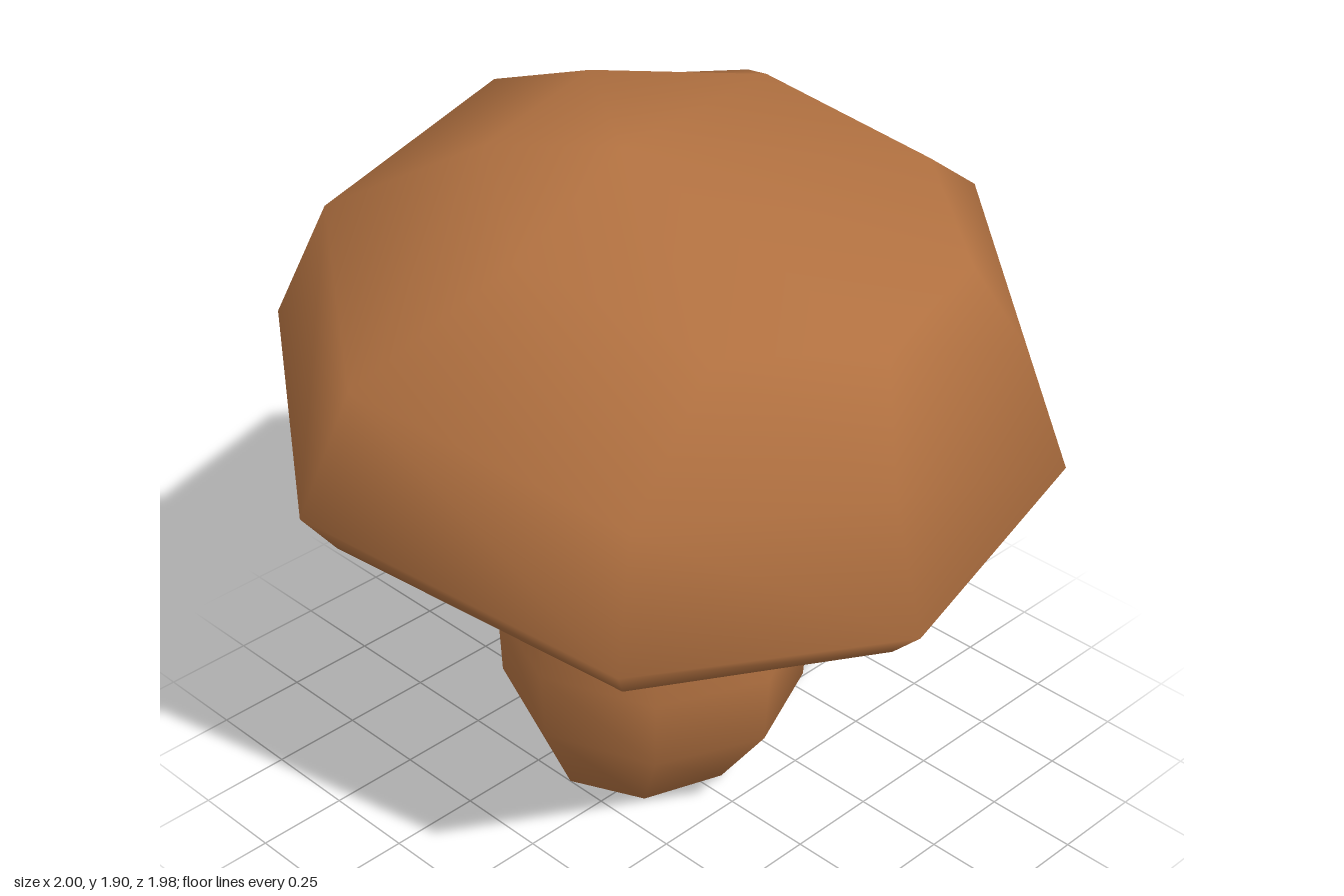
import * as THREE from 'three';

// Irregular eight-cornered rim outline as [x, z], each axis reaching about 1
const RIM = [
  [0.22, -0.99], [-0.56, -0.85], [-1, -0.22], [-0.78, 0.63],
  [-0.16, 0.99], [0.56, 0.84], [1, 0.27], [0.87, -0.54],
];
// Regular octagon for the stem, running the same way round
const OCTAGON = Array.from({ length: 8 }, (_, i) => {
  const a = (i / 8) * Math.PI * 2;
  return [-Math.sin(a), -Math.cos(a)];
});

// Skins rings listed from bottom to top; optional end points close the ends.
// Ring: centre x, z, half widths, height and its slope along x and z.
function loft(outline, rings, bottom, top) {
  const n = outline.length;
  const pos = [];
  const index = [];
  for (const { cx = 0, cz = 0, wx, wz, y, sx = 0, sz = 0 } of rings) {
    for (const [ox, oz] of outline) {
      const x = cx + ox * wx;
      const z = cz + oz * wz;
      pos.push(x, y + sx * x + sz * z, z);
    }
  }
  for (let r = 0; r < rings.length - 1; r++) {
    for (let i = 0; i < n; i++) {
      const a = r * n + i;
      const b = r * n + ((i + 1) % n);
      index.push(a, a + n, b, b, a + n, b + n);
    }
  }
  const close = (point, start, up) => {
    if (!point) return;
    const c = pos.length / 3;
    pos.push(...point);
    for (let i = 0; i < n; i++) {
      const a = start + i;
      const b = start + ((i + 1) % n);
      if (up) index.push(a, c, b);
      else index.push(b, c, a);
    }
  };
  close(bottom, 0, false);
  close(top, (rings.length - 1) * n, true);
  const g = new THREE.BufferGeometry();
  g.setAttribute('position', new THREE.Float32BufferAttribute(pos, 3));
  g.setIndex(index);
  g.computeVertexNormals();
  return g;
}

export function createModel() {
  const group = new THREE.Group();
  group.name = 'mushroom';
  const brown = new THREE.MeshStandardMaterial({ color: 0xb07040 });
  brown.name = 'mushroomBrown';
  brown.side = THREE.DoubleSide;

  // Cap: underside flaring from the neck, tilted rim, steep front, domed top
  const cap = new THREE.Mesh(loft(RIM, [
    { cx: 0.01, cz: -0.05, wx: 0.27, wz: 0.28, y: 1.06, sz: -0.15 },
    { cz: -0.04, wx: 0.58, wz: 0.58, y: 1.11, sx: 0.06, sz: -0.17 },
    { cx: 0.02, cz: -0.03, wx: 0.91, wz: 0.92, y: 1.06, sx: 0.095, sz: -0.178 },
    { wx: 1, wz: 1, y: 1.188, sx: 0.07, sz: -0.175 },
    { cx: -0.04, cz: 0.06, wx: 0.86, wz: 0.86, y: 1.56, sx: 0.095, sz: -0.205 },
    { cz: 0.2, wx: 0.55, wz: 0.6, y: 1.815, sx: 0.04, sz: -0.195 },
  ], null, [-0.1, 1.875, -0.05]), brown);
  cap.name = 'cap';

  // Stem: bulging low, narrowing to the tilted neck under the cap
  const stem = new THREE.Mesh(loft(OCTAGON, [
    { cx: 0.04, cz: -0.11, wx: 0.3, wz: 0.28, y: 0.02, sx: 0.03 },
    { cx: 0.035, cz: -0.09, wx: 0.4, wz: 0.42, y: 0.24 },
    { cx: 0.045, cz: -0.095, wx: 0.415, wz: 0.43, y: 0.43 },
    { cx: 0.025, cz: -0.07, wx: 0.375, wz: 0.38, y: 0.72 },
    { cx: 0.025, cz: -0.045, wx: 0.31, wz: 0.315, y: 0.95, sz: -0.1 },
    { cx: 0.015, cz: -0.05, wx: 0.28, wz: 0.28, y: 1.07, sz: -0.15 },
  ], [0.0, 0.0, -0.1]), brown);
  stem.name = 'stem';

  group.add(cap, stem);
  return group;
}
